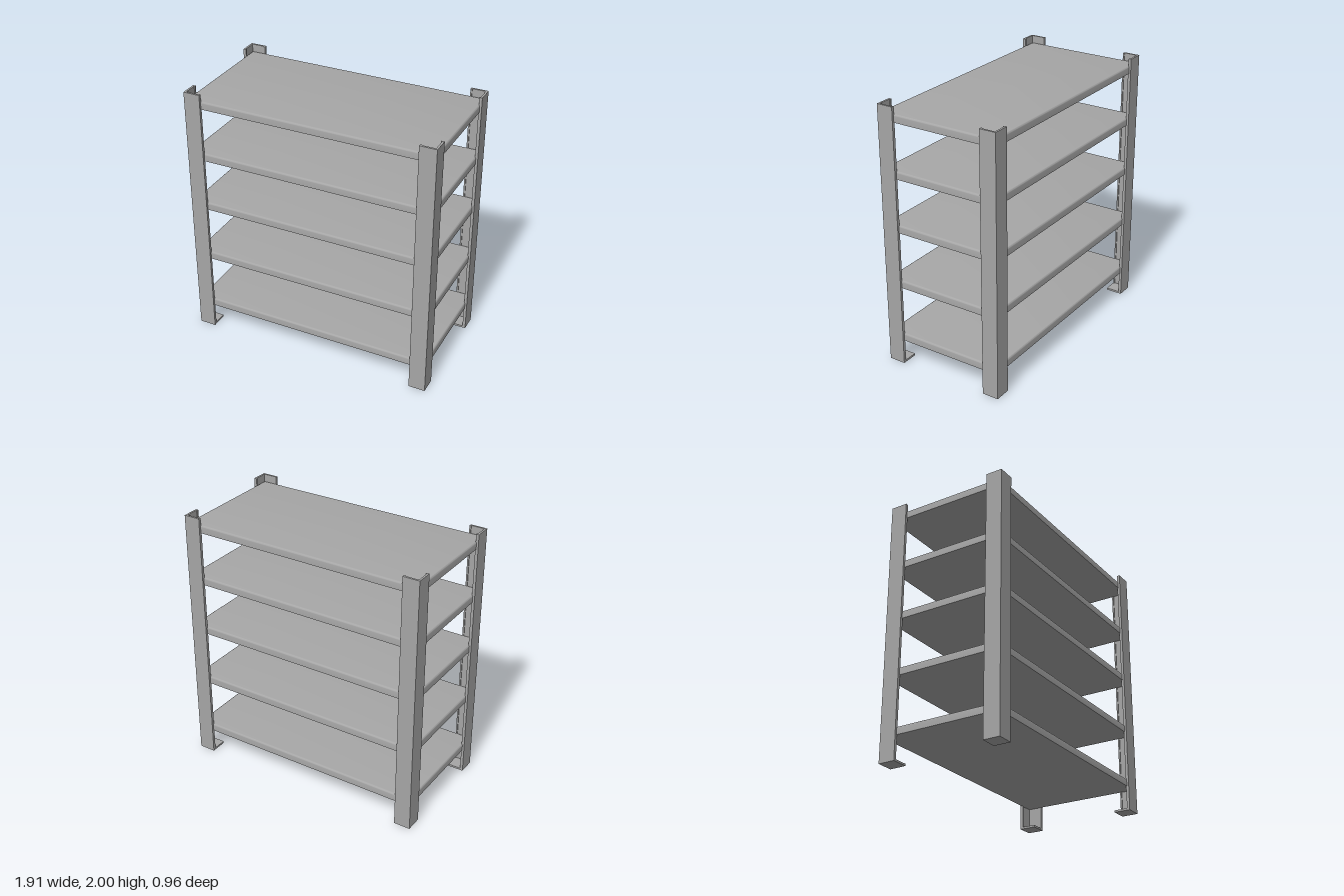
import * as THREE from 'three';
import { toCreasedNormals } from 'three/addons/utils/BufferGeometryUtils.js';

const HX = 0.955, HZ = 0.48;   // outer half size of the rack
const FLANGE = 0.127, WALL = 0.015, LIP = 0.007;

// Solid shelf: flat underside, softly rounded upper edge
function shelfGeometry(hx, hz, height, r) {
  const profile = [new THREE.Vector2(0, 0), new THREE.Vector2(1, 0)];
  for (let i = 0; i <= 4; i++) {
    const a = (i / 4) * Math.PI / 2;
    profile.push(new THREE.Vector2(1 - r * (1 - Math.cos(a)), height - r * (1 - Math.sin(a))));
  }
  profile.push(new THREE.Vector2(0, height));
  const geo = new THREE.LatheGeometry(profile, 4).rotateY(Math.PI / 4);
  const p = geo.attributes.position;
  for (let i = 0; i < p.count; i++) {
    const x = p.getX(i), z = p.getZ(i);
    const radius = Math.hypot(x, z);
    if (radius < 0.01) continue;
    p.setX(i, Math.sign(x) * (hx - (1 - radius)));
    p.setZ(i, Math.sign(z) * (hz - (1 - radius)));
  }
  return toCreasedNormals(geo, 0.6);
}

// Extrudes a plan outline upwards; (u, v) run inwards from the rack corner
function cornerGeometry(outline, sx, sz, height) {
  const points = outline.map(([u, v]) => new THREE.Vector2(sx * (HX - u), -sz * (HZ - v)));
  return new THREE.ExtrudeGeometry(new THREE.Shape(points), { depth: height, bevelEnabled: false })
    .rotateX(-Math.PI / 2);
}

export function createModel() {
  const rack = new THREE.Group();
  rack.name = 'shelvingRack';
  const metal = new THREE.MeshStandardMaterial({ color: 0xa6a6a6 });
  metal.name = 'grey metal';

  const add = (geometry, name, parent = rack) => {
    const mesh = new THREE.Mesh(geometry, metal);
    mesh.name = name;
    parent.add(mesh);
    return mesh;
  };

  // Shelves
  const shelf = shelfGeometry(HX - WALL, HZ - WALL, 0.06, 0.014);
  [0.187, 0.625, 1.061, 1.471, 1.885].forEach((y, i) => {
    add(shelf, `shelf${i + 1}`).position.y = y;
  });

  // Angle posts with small return lips, each on a square foot plate
  const half = [[FLANGE, 0], [FLANGE, WALL + LIP], [FLANGE - 0.012, WALL + LIP], [FLANGE - 0.012, WALL]];
  const angle = [[0, 0], ...half, [WALL, WALL], ...half.map(([u, v]) => [v, u]).reverse()];
  const square = [[0, 0], [FLANGE, 0], [FLANGE, FLANGE], [0, FLANGE]];
  for (const sx of [-1, 1]) {
    for (const sz of [-1, 1]) {
      const post = new THREE.Group();
      post.name = (sz > 0 ? 'front' : 'back') + (sx > 0 ? 'Left' : 'Right') + 'Post';
      add(cornerGeometry(angle, sx, sz, 1.985).translate(0, 0.015, 0), 'anglePost', post);
      add(cornerGeometry(square, sx, sz, 0.015), 'footPlate', post);
      rack.add(post);
    }
  }
  return rack;
}
